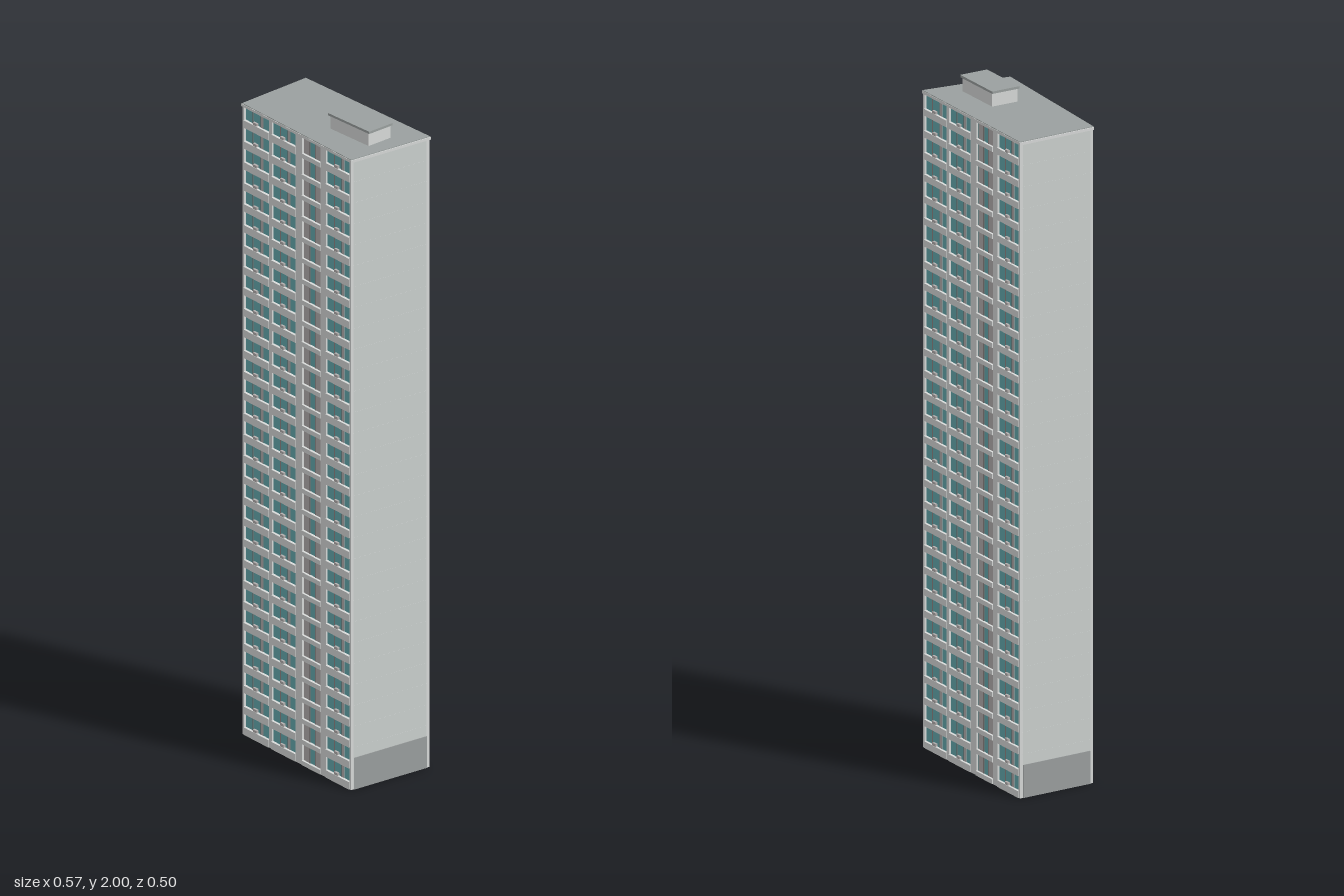
import * as THREE from 'three';
import { mergeGeometries } from 'three/addons/utils/BufferGeometryUtils.js';

const mat = (name, color) => {
  const m = new THREE.MeshStandardMaterial({ color });
  m.name = name;
  return m;
};

// Plan corners [x, z]: left, back, right, front
const A = [-0.283, -0.041], B = [-0.154, -0.25], C = [0.282, 0.038], D = [0.109, 0.247];
const FLOORS = 30, TOP = 1.945, STEP = TOP / FLOORS, RECESS = 0.009;

// Vertical prism over a plan polygon
function prism(points, y0, y1) {
  const shape = new THREE.Shape(points.map(([x, z]) => new THREE.Vector2(x, -z)));
  const g = new THREE.ExtrudeGeometry(shape, { depth: y1 - y0, bevelEnabled: false });
  return g.rotateX(-Math.PI / 2).translate(0, y0, 0);
}

// Box given by its limits on each axis
function box(x0, x1, y0, y1, z0, z1) {
  return new THREE.BoxGeometry(x1 - x0, y1 - y0, z1 - z0)
    .translate((x0 + x1) / 2, (y0 + y1) / 2, (z0 + z1) / 2);
}

// Group whose x axis runs from p to q and whose z axis points out of the wall
function wallFrame(name, p, q) {
  const g = new THREE.Group();
  g.name = name;
  g.position.set(p[0], 0, p[1]);
  g.rotation.y = Math.atan2(-(q[1] - p[1]), q[0] - p[0]);
  return g;
}

export function createModel() {
  const mats = {
    wall: mat('end wall grey', 0xccd1cf),
    white: mat('facade light grey', 0xd8dad9),
    roof: mat('roof grey', 0x9aa09f),
    base: mat('base grey', 0x9b9f9f),
    glass: mat('teal glass', 0x66abb0),
    frame: mat('frame grey', 0x77706f),
    panel: mat('panel grey', 0xb4b0af),
  };
  const model = new THREE.Group();
  model.name = 'towerBlock';
  const add = (parent, name, geometry, material) => {
    const m = new THREE.Mesh(geometry, material);
    m.name = name;
    parent.add(m);
  };

  // Core, drawn in behind the two long facades
  const slide = (p, q, d) => {
    const l = Math.hypot(q[0] - p[0], q[1] - p[1]);
    return [p[0] + (q[0] - p[0]) * d / l, p[1] + (q[1] - p[1]) * d / l];
  };
  const core = [slide(A, B, RECESS), slide(B, A, RECESS), slide(C, D, RECESS), slide(D, C, RECESS)];
  add(model, 'core', prism(core, 0, TOP), mats.wall);

  // Roof slab with a pale edge and a grey deck
  const grow = (pts, k) => pts.map(([x, z]) => [x * k, z * k]);
  add(model, 'roofEdge', prism(grow([A, B, C, D], 1.014), TOP - 0.002, 1.951), mats.white);
  add(model, 'roofDeck', prism(grow([A, B, C, D], 1.004), 1.95, 1.953), mats.roof);

  // Long facades: three wide window bays and one narrow stair bay
  const bays = [[0.015, 0.245], [0.27, 0.49], [0.55, 0.72], [0.77, 0.985]];
  const facade = (name, p, q, band) => {
    const group = wallFrame(name, p, q);
    const L = Math.hypot(q[0] - p[0], q[1] - p[1]);
    const parts = { white: [], glass: [], frame: [], panel: [] };
    const back = -RECESS - 0.002;

    // Full-height piers between the bays
    let left = 0;
    for (const [a, b] of [...bays, [1, 1]]) {
      parts.white.push(box(left * L, a * L, 0, TOP, back, 0));
      left = b;
    }
    bays.forEach(([a, b], i) => {
      const x0 = a * L, x1 = b * L, w = x1 - x0, stair = i === 2;
      parts.glass.push(box(x0, x1, 0, TOP, back, -RECESS + 0.003));
      for (let f = 0; f < FLOORS; f++) {
        const y = f * STEP, sill = y + (stair ? 0.014 : band), head = y + STEP;
        // Spandrel band
        parts.white.push(box(x0, x1, y, sill, back, 0.002));
        // Frame uprights
        const stops = stair ? [0.36, 0.64] : [0.3, 0.62];
        for (const s of stops) {
          const x = x0 + s * w;
          parts.frame.push(box(x - 0.0012, x + 0.0012, sill, head, back, -0.004));
        }
        // Solid infill panels
        if (stair) {
          for (const s of [0.03, 0.64]) {
            parts.panel.push(box(x0 + s * w, x0 + (s + 0.33) * w, sill, head, back, -0.005));
          }
        } else {
          parts.panel.push(box(x0 + 0.63 * w, x0 + 0.72 * w, sill, head, back, -0.005));
          parts.panel.push(box(x0 + 0.36 * w, x0 + 0.5 * w, sill, sill + 0.008, -0.007, 0.001));
        }
      }
    });
    const names = { white: 'facadeWall', glass: 'windowGlass', frame: 'windowFrames', panel: 'infillPanels' };
    for (const key in parts) add(group, names[key], mergeGeometries(parts[key]), mats[key]);
    model.add(group);
  };
  facade('frontFacade', A, D, 0.023);
  facade('backFacade', C, B, 0.02);

  // Blank end walls: shallow floor joints above a darker base panel
  for (const [name, p, q] of [['leftEnd', B, A], ['rightEnd', D, C]]) {
    const group = wallFrame(name, p, q);
    const L = Math.hypot(q[0] - p[0], q[1] - p[1]);
    add(group, 'basePanel', box(0.01, L - 0.01, 0, 0.098, -0.002, 0.002), mats.base);
    const joints = [];
    for (let f = 2; f < FLOORS; f++) {
      joints.push(box(RECESS, L - RECESS, f * STEP, f * STEP + 0.001, -0.001, 0.0004));
    }
    add(group, 'floorJoints', mergeGeometries(joints), mats.wall);
    model.add(group);
  }

  // Rooftop plant room
  const room = [[-0.007, 0.06], [0.042, -0.015], [0.185, 0.078], [0.137, 0.152]];
  const mid = [0.089, 0.069];
  const inner = room.map(([x, z]) => [mid[0] + (x - mid[0]) * 0.93, mid[1] + (z - mid[1]) * 0.93]);
  add(model, 'plantRoom', prism(inner, 1.95, 1.994), mats.white);
  add(model, 'plantRoomRoof', prism(room, 1.993, 2), mats.roof);

  return model;
}
